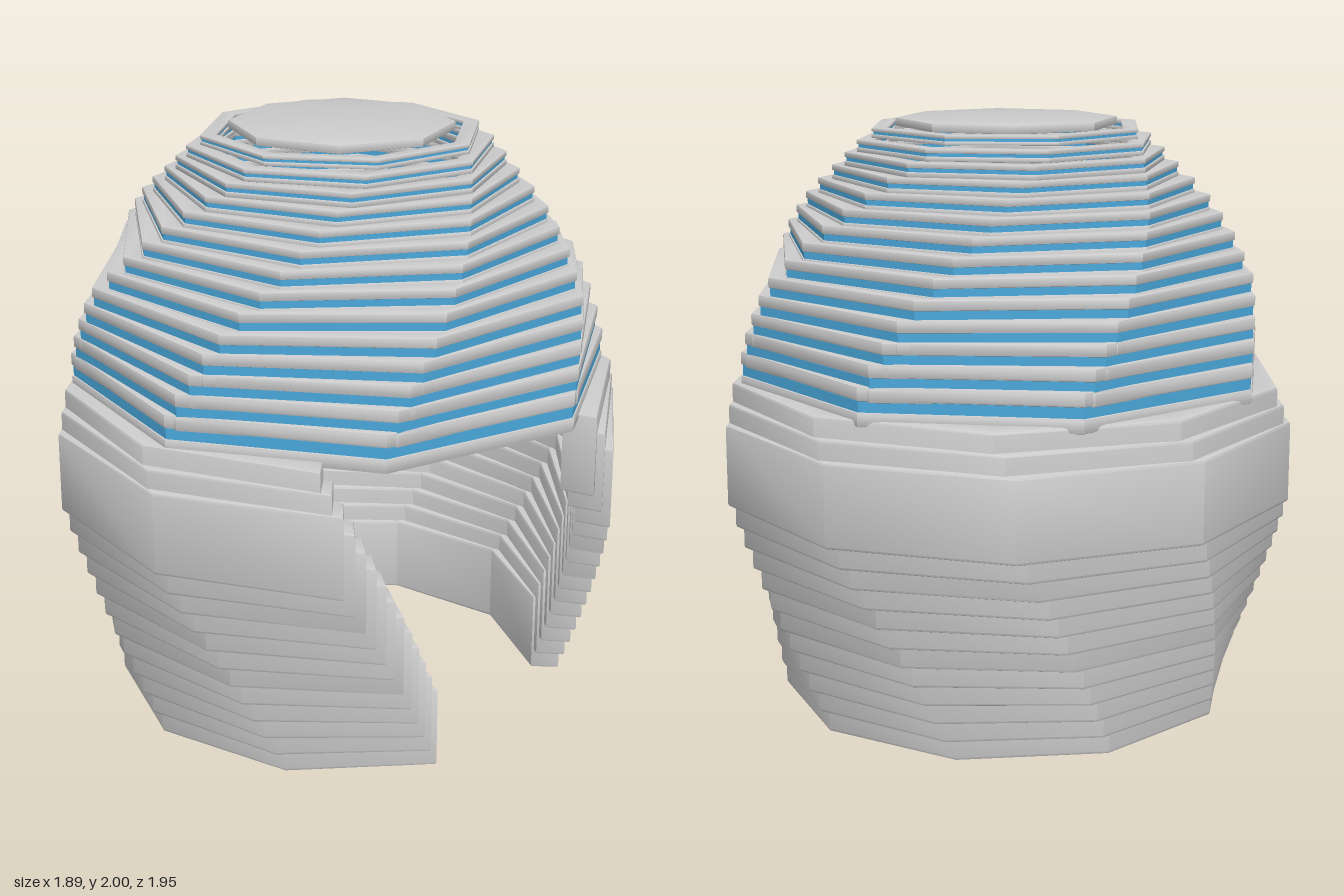
import * as THREE from 'three';
import { toCreasedNormals } from 'three/addons/utils/BufferGeometryUtils.js';

const GREY = new THREE.MeshStandardMaterial({ color: 0xcccccc });
const BLUE = new THREE.MeshStandardMaterial({ color: 0x4aa8dc });
const rad = THREE.MathUtils.degToRad;

// Points on a circle in the ground plane (x, z), angles in degrees
function arcPoints(radius, start, step, count) {
  return Array.from({ length: count }, (_, i) => {
    const a = rad(start + step * i);
    return new THREE.Vector2(radius * Math.cos(a), radius * Math.sin(a));
  });
}

// Flat slab of a plan shape between two heights, with a small chamfer
function slab(shape, y0, y1, bevel, crease) {
  const geo = new THREE.ExtrudeGeometry(shape, {
    depth: y1 - y0 - 2 * bevel,
    bevelEnabled: bevel > 0,
    bevelSize: bevel,
    bevelThickness: bevel,
    bevelOffset: -bevel,
    bevelSegments: 2,
  });
  geo.rotateX(Math.PI / 2);
  geo.translate(0, y1 - bevel, 0);
  return toCreasedNormals(geo, rad(crease));
}

function octagonRing(outer, inner, phase) {
  const shape = new THREE.Shape(arcPoints(outer, phase, 45, 8));
  shape.holes.push(new THREE.Path(arcPoints(inner, phase, 45, 8).reverse()));
  return shape;
}

function add(parent, name, geo, material) {
  const mesh = new THREE.Mesh(geo, material);
  mesh.name = name;
  parent.add(mesh);
}

export function createModel() {
  const model = new THREE.Group();
  model.name = 'pavilion';
  model.position.x = 0.02;

  // Open wall: overlapping eight-sided arcs that widen and twist upwards
  const wall = new THREE.Group();
  wall.name = 'wall';
  model.add(wall);
  for (let k = 0; k < 14; k++) {
    const r = k < 12 ? 0.785 + 0.0182 * k : 0.985 - 0.018 * (k - 11);
    const start = 20 + 2.1 * k;
    const outer = arcPoints(r, start, 37, 9);
    const inner = arcPoints(r * 0.875, start, 37, 9).reverse();
    const y = 0.0655 * k;
    add(wall, `wallLayer${k + 1}`,
      slab(new THREE.Shape([...outer, ...inner]), y, y + 0.28, 0.01, 40), GREY);
  }

  // Dome: twisting octagonal rings, each with a blue strip at mid-height
  const dome = new THREE.Group();
  dome.name = 'dome';
  model.add(dome);
  const radii = [0.92, 0.91, 0.895, 0.88, 0.86, 0.82, 0.78, 0.735, 0.69, 0.64, 0.59, 0.55, 0.515, 0.475];
  radii.forEach((r, i) => {
    const ring = new THREE.Group();
    ring.name = `domeRing${i + 1}`;
    dome.add(ring);
    const mid = 1.175 + 0.077 * i - 0.00128 * i * i;
    const h = 0.13 - 0.0075 * i;
    const phase = 80 - 2.2 * i - 0.13 * i * i;
    const plan = octagonRing(r, r * 0.885, phase);
    const strip = octagonRing(r - 0.006, r * 0.885 + 0.006, phase);
    const bevel = 0.06 * h;
    add(ring, 'lowerBand', slab(plan, mid - h / 2, mid - h * 0.13, bevel, 30), GREY);
    add(ring, 'blueStrip', slab(strip, mid - h * 0.13, mid + h * 0.14, 0, 30), BLUE);
    add(ring, 'upperBand', slab(plan, mid + h * 0.14, mid + h / 2, bevel, 30), GREY);
  });

  // Octagonal cap floating inside the top ring
  add(model, 'cap',
    slab(new THREE.Shape(arcPoints(0.375, 0, 45, 8)), 1.972, 2, 0.004, 30), GREY);

  return model;
}
